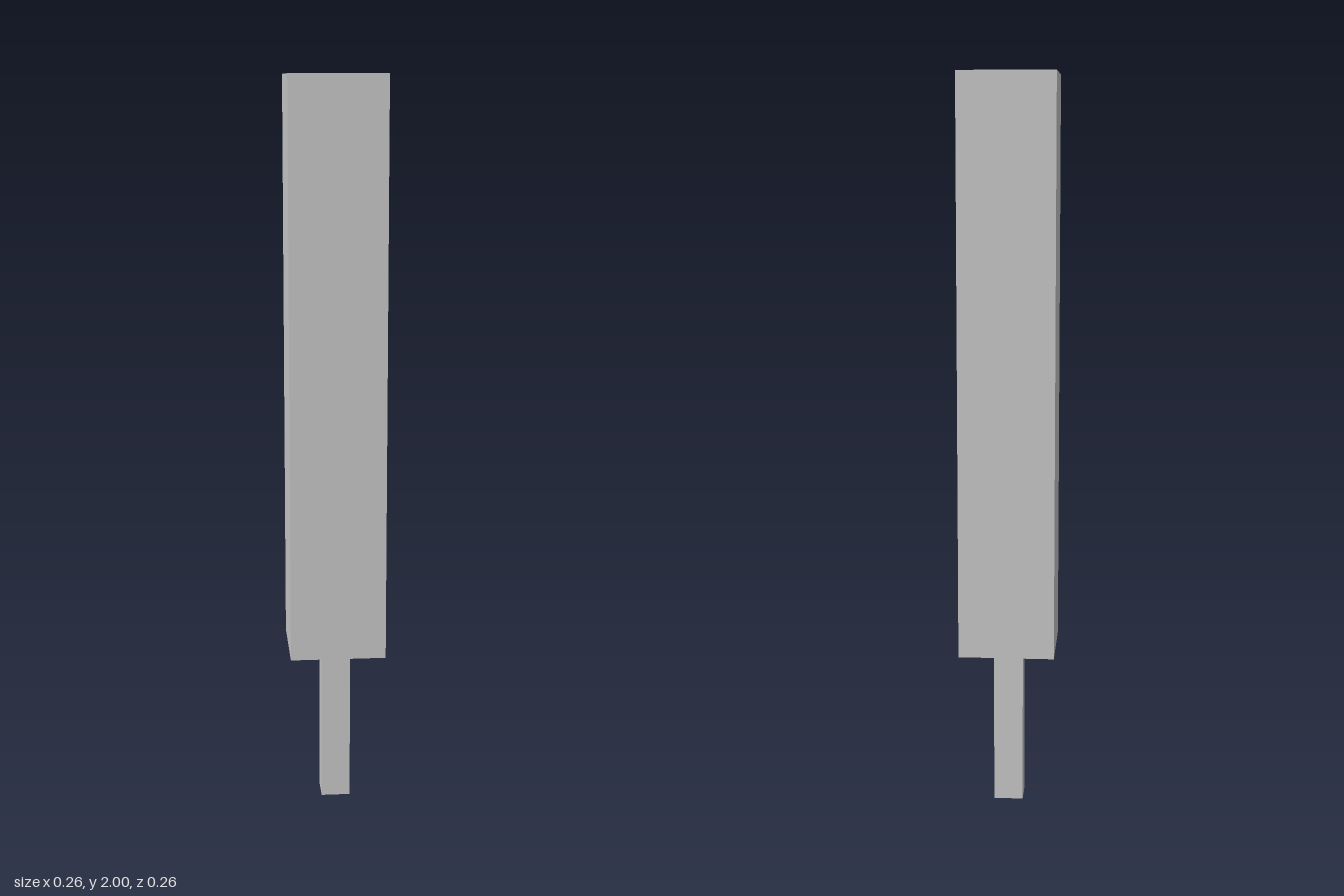
import * as THREE from 'three';

const material = new THREE.MeshStandardMaterial({ color: 0xcccccc, flatShading: true });

// Square bar of the given width, spanning bottom to top
function squareBar(name, width, bottom, top) {
  const mesh = new THREE.Mesh(new THREE.BoxGeometry(width, top - bottom, width), material);
  mesh.name = name;
  mesh.position.y = (bottom + top) / 2;
  return mesh;
}

export function createModel() {
  const model = new THREE.Group();
  model.name = 'blockOnStick';
  // Slim handle below, thick block above
  model.add(squareBar('stick', 0.08, 0, 0.44));
  model.add(squareBar('block', 0.26, 0.44, 2));
  return model;
}
